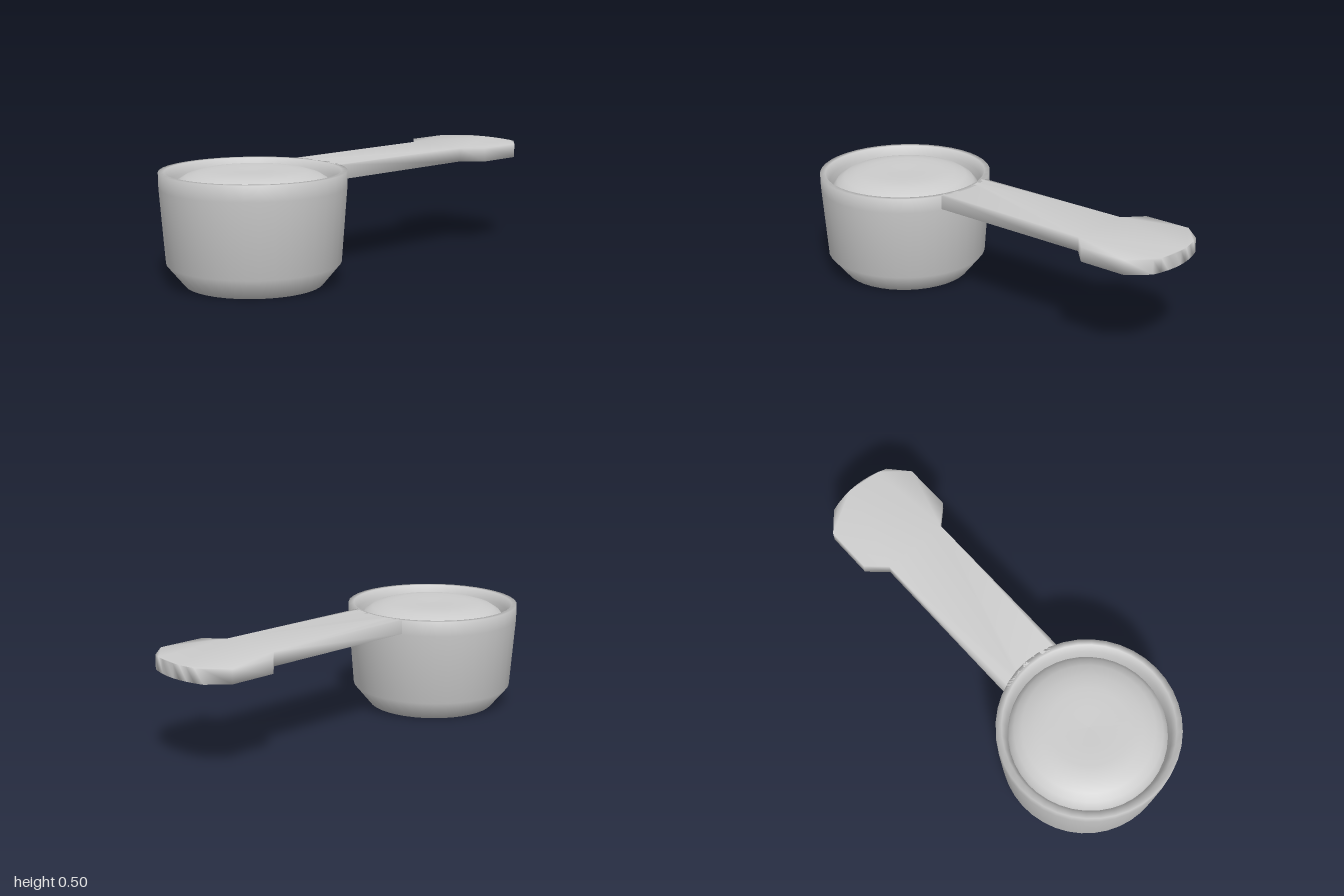
import * as THREE from 'three';
import { mergeVertices } from 'three/addons/utils/BufferGeometryUtils.js';

const CUP_Z = 0.59;
const material = new THREE.MeshStandardMaterial({ color: 0xcccccc });

function addPart(group, name, geometry) {
  const mesh = new THREE.Mesh(geometry, material);
  mesh.name = name;
  group.add(mesh);
  return mesh;
}

// Turned part from [radius, height] pairs
function turned(profile, segments = 40) {
  return new THREE.LatheGeometry(profile.map(([r, y]) => new THREE.Vector2(r, y)), segments);
}

// Share the corner vertices so shading rolls softly over the edges
function soften(geometry) {
  geometry.deleteAttribute('normal');
  geometry.deleteAttribute('uv');
  const welded = mergeVertices(geometry, 1e-4);
  welded.computeVertexNormals();
  return welded;
}

// Stem and wide thumb paddle in one outline (outline y runs towards -z)
function handleGeometry(thickness) {
  const stem = 0.155, joinRadius = 0.395;
  const theta = Math.acos(stem / joinRadius);
  const side = [[stem, 0.58], [0.24, 0.66], [0.24, 0.88], [0.16, 0.97]];
  const shape = new THREE.Shape();
  shape.moveTo(stem, -CUP_Z + joinRadius * Math.sin(theta));
  side.forEach(([x, y]) => shape.lineTo(x, y));
  shape.quadraticCurveTo(0, 1.03, -0.16, 0.97);
  side.slice(0, 3).reverse().forEach(([x, y]) => shape.lineTo(-x, y));
  // Concave end that follows the cup wall
  shape.absarc(0, -CUP_Z, joinRadius, Math.PI - theta, theta, true);
  const geometry = new THREE.ExtrudeGeometry(shape, {
    depth: thickness, bevelEnabled: false, curveSegments: 8,
  });
  geometry.rotateX(-Math.PI / 2);
  return soften(geometry);
}

export function createModel() {
  const model = new THREE.Group();
  model.name = 'measuringScoop';

  // Cup: outside from the base up, over the rim, then down the inside
  const cup = addPart(model, 'cup', turned([
    [0, 0], [0.305, 0], [0.385, 0.097], [0.41, 0.43], [0.411, 0.5],
    [0.385, 0.5], [0.367, 0.46], [0.355, 0.4], [0.34, 0.12], [0.28, 0.04], [0, 0.04],
  ]));
  cup.position.z = CUP_Z;

  // Contents: softly heaped mound with a shallow dip in the middle
  const contents = addPart(model, 'contents', turned([
    [0.358, 0.4], [0.352, 0.43], [0.33, 0.458], [0.295, 0.48],
    [0.24, 0.496], [0.18, 0.503], [0.09, 0.501], [0, 0.498],
  ]));
  contents.position.z = CUP_Z;

  // Handle: level with the rim
  const handle = addPart(model, 'handle', handleGeometry(0.065));
  handle.position.y = 0.435;

  return model;
}
